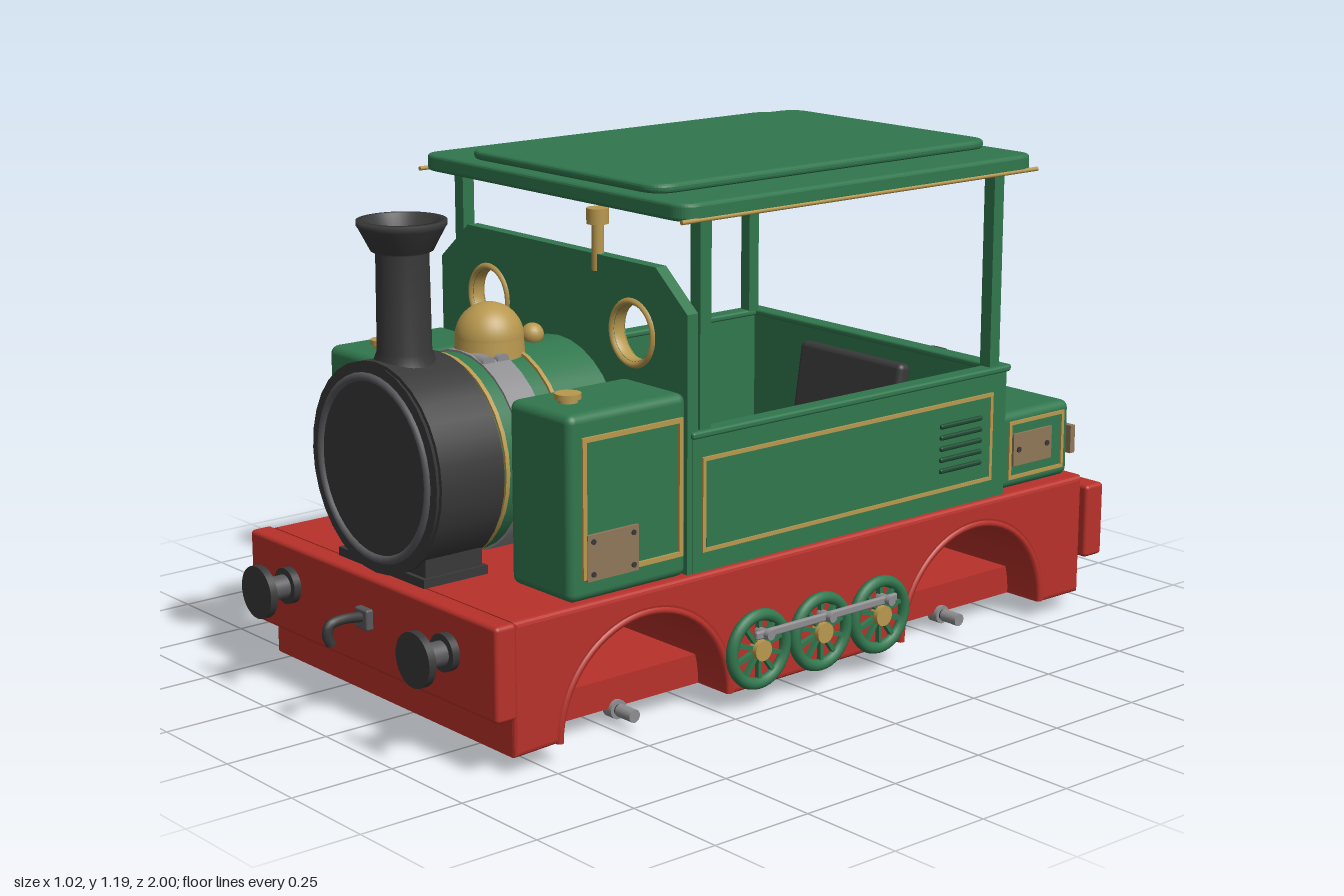
import * as THREE from 'three';
import { RoundedBoxGeometry } from 'three/addons/geometries/RoundedBoxGeometry.js';

const mat = (name, color, side = THREE.FrontSide) =>
  Object.assign(new THREE.MeshStandardMaterial({ color, side }), { name });

export function createModel() {
  const root = new THREE.Group();
  root.name = 'tankEngine';
  const green = mat('green paint', 0x31774e), red = mat('red paint', 0xb8312a);
  const dark = mat('black iron', 0x393939), gold = mat('brass', 0xb8984e);
  const steel = mat('steel', 0x8e8e90), bronze = mat('bronze plate', 0x8f7758);
  const coalMat = mat('coal', 0x323234), ringMat = mat('dark steel', 0x58585c);
  const shade = mat('dark green', 0x1d4a31);
  coalMat.flatShading = true;

  // helpers
  const add = (name, geo, m, x = 0, y = 0, z = 0) => {
    const mesh = new THREE.Mesh(geo, m);
    mesh.name = name;
    mesh.position.set(x, y, z);
    root.add(mesh);
    return mesh;
  };
  const box = (name, m, w, h, d, x, y, z) => add(name, new THREE.BoxGeometry(w, h, d), m, x, y, z);
  const rbox = (name, m, w, h, d, x, y, z, r = 0.015) =>
    add(name, new RoundedBoxGeometry(w, h, d, 3, r), m, x, y, z);
  const cyl = (name, m, r, len, x, y, z, axis = 'y', rTop = r) => {
    const g = new THREE.CylinderGeometry(rTop, r, len, 32);
    if (axis === 'z') g.rotateX(Math.PI / 2);
    if (axis === 'x') g.rotateZ(-Math.PI / 2);
    return add(name, g, m, x, y, z);
  };
  const ring = (name, m, r, tube, x, y, z, sideways = false) => {
    const g = new THREE.TorusGeometry(r, tube, 10, 40);
    if (sideways) g.rotateY(Math.PI / 2);
    return add(name, g, m, x, y, z);
  };
  // shape drawn in (z, y), extruded across x and centred
  const across = (shape, w, bevel = 0) => {
    const g = new THREE.ExtrudeGeometry(shape, {
      depth: w - 2 * bevel, curveSegments: 24, bevelEnabled: bevel > 0,
      bevelThickness: bevel, bevelSize: bevel, bevelOffset: -bevel, bevelSegments: 3,
    });
    return g.rotateY(-Math.PI / 2).translate(w / 2 - bevel, 0, 0);
  };
  const poly = (pts) => new THREE.Shape(pts.map((p) => new THREE.Vector2(...p)));
  const rect = (a, b, c, d) => poly([[a, c], [b, c], [b, d], [a, d]]);
  const frame = (name, x, z0, z1, y0, y1, t = 0.009) => {
    const s = rect(z0, z1, y0, y1);
    s.holes.push(rect(z0 + t, z1 - t, y0 + t, y1 - t));
    return add(name, across(s, 0.008), gold, x);
  };
  const slab = (name, m, w, d, h, r, y, z) => {
    const a = w / 2 - 0.01, b = d / 2 - 0.01, s = new THREE.Shape();
    s.moveTo(-a + r, -b).lineTo(a - r, -b).quadraticCurveTo(a, -b, a, -b + r);
    s.lineTo(a, b - r).quadraticCurveTo(a, b, a - r, b);
    s.lineTo(-a + r, b).quadraticCurveTo(-a, b, -a, b - r);
    s.lineTo(-a, -b + r).quadraticCurveTo(-a, -b, -a + r, -b);
    const g = new THREE.ExtrudeGeometry(s, {
      depth: h - 0.016, bevelThickness: 0.008, bevelSize: 0.01, bevelSegments: 3,
    });
    return add(name, g.rotateX(-Math.PI / 2), m, 0, y + 0.008, z);
  };

  // chassis with two wheel arches on each side
  const arches = [-0.55, 0.47];
  const hull = new THREE.Shape();
  hull.moveTo(-0.93, 0.04);
  for (const z of arches) {
    hull.lineTo(z - 0.24, 0.04);
    hull.absarc(z, 0.045, 0.24, Math.PI, 0, true);
  }
  hull.lineTo(0.83, 0.04).lineTo(0.83, 0.34).lineTo(-0.93, 0.34);
  add('chassis', across(hull, 0.92, 0.012), red);
  box('floorTray', red, 0.7, 0.07, 1.7, 0, 0.075, -0.05);
  rbox('frontBeam', red, 0.94, 0.212, 0.055, 0, 0.236, 0.857, 0.01);
  rbox('rearBeam', red, 0.94, 0.185, 0.062, 0, 0.22, -0.969, 0.01);
  for (const s of [1, -1]) for (const z of arches) {
    const arch = new THREE.TorusGeometry(0.24, 0.009, 8, 32, Math.PI).rotateY(Math.PI / 2);
    add('archLip', arch, red, s * 0.455, 0.045, z);
  }

  // running rails and cross axles underneath
  for (const s of [1, -1]) cyl('bottomRail', dark, 0.02, 1.58, s * 0.22, 0.02, -0.05, 'z');
  for (const z of arches) {
    cyl('crossAxle', dark, 0.013, 0.8, 0, 0.036, z, 'x');
    for (const s of [1, -1]) {
      cyl('axleCollar', steel, 0.022, 0.03, s * 0.345, 0.036, z, 'x');
      cyl('axleEnd', steel, 0.015, 0.05, s * 0.39, 0.036, z, 'x');
    }
  }
  // machinery in the rear arch
  box('pedal', dark, 0.2, 0.1, 0.08, 0, 0.22, -0.47).rotation.x = 0.3;
  box('motorBox', dark, 0.2, 0.07, 0.09, 0, 0.14, -0.365);

  // wheels and side rods
  for (const s of [1, -1]) {
    for (const z of [0.155, -0.035, -0.222]) {
      ring('wheelRim', green, 0.08, 0.014, s * 0.47, 0.135, z, true);
      cyl('wheelDisc', red, 0.08, 0.006, s * 0.461, 0.135, z, 'x');
      for (let i = 0; i < 5; i++)
        box('wheelSpoke', green, 0.012, 0.16, 0.01, s * 0.47, 0.135, z).rotation.x = (i * Math.PI) / 5;
      cyl('wheelHub', gold, 0.024, 0.03, s * 0.473, 0.135, z, 'x');
      cyl('crankPin', steel, 0.011, 0.045, s * 0.49, 0.177, z, 'x');
    }
    rbox('sideRod', steel, 0.012, 0.02, 0.44, s * 0.492, 0.177, -0.035, 0.005);
  }

  // buffers and coupling hook
  for (const s of [1, -1]) {
    cyl('bufferBase', dark, 0.042, 0.02, s * 0.302, 0.25, 0.893, 'z');
    cyl('bufferStem', ringMat, 0.027, 0.08, s * 0.302, 0.25, 0.925, 'z');
    cyl('bufferHead', dark, 0.061, 0.018, s * 0.302, 0.25, 0.968, 'z');
  }
  rbox('hookPlate', ringMat, 0.048, 0.048, 0.02, 0, 0.248, 0.892, 0.005);
  const hookPath = new THREE.CatmullRomCurve3([[0.88, 0.25], [0.95, 0.257], [0.982, 0.25], [0.988, 0.225], [0.98, 0.207]]
    .map(([z, y]) => new THREE.Vector3(0, y, z)));
  add('couplingHook', new THREE.TubeGeometry(hookPath, 20, 0.012, 8), dark);

  // boiler, smokebox and chimney
  cyl('boiler', green, 0.222, 0.36, 0, 0.58, 0.5, 'z');
  cyl('boilerBand', steel, 0.227, 0.075, 0, 0.58, 0.585, 'z');
  for (const z of [0.5, 0.664]) cyl('brassBand', gold, 0.228, 0.01, 0, 0.58, z, 'z');
  const smoke = [[0, -0.09], [0.235, -0.09], [0.235, 0.07], [0.225, 0.09], [0.2, 0.093], [0, 0.093]]
    .map((p) => new THREE.Vector2(...p));
  const flat = new THREE.LatheGeometry(smoke, 48).toNonIndexed();
  cyl('smokebox', dark, 0.235, 0.165, 0, 0.58, 0.762, 'z');
  flat.dispose();
  cyl('smokeboxDoor', dark, 0.225, 0.015, 0, 0.58, 0.85, 'z', 0.235);
  ring('smokeboxRing', ringMat, 0.202, 0.01, 0, 0.58, 0.856);
  box('smokeboxSaddle', dark, 0.31, 0.13, 0.15, 0, 0.41, 0.76);
  box('saddleFoot', dark, 0.325, 0.02, 0.17, 0, 0.354, 0.76);
  const flue = [[0.075, 0.79], [0.06, 0.83], [0.058, 1.045], [0.068, 1.05], [0.094, 1.1],
    [0.098, 1.105], [0.098, 1.116], [0.08, 1.116], [0.05, 1.06], [0.001, 1.05]];
  add('chimney', new THREE.LatheGeometry(flue.map((p) => new THREE.Vector2(...p)), 36), dark, 0, 0, 0.768);

  // brass fittings on the boiler
  cyl('domeBase', gold, 0.08, 0.05, 0, 0.805, 0.54, 'y', 0.076);
  add('steamDome', new THREE.SphereGeometry(0.077, 32, 16, 0, Math.PI * 2, 0, Math.PI / 2), gold, 0, 0.828, 0.54);
  cyl('valveStem', gold, 0.02, 0.04, 0, 0.8, 0.42);
  add('valveBall', new THREE.SphereGeometry(0.026, 20, 12), gold, 0, 0.815, 0.42);
  for (const z of [0.565, 0.605]) cyl('bandBolt', steel, 0.016, 0.05, 0.06, 0.79, z, 'x');
  cyl('whistleStem', gold, 0.014, 0.12, 0.13, 1.03, 0.335);
  cyl('whistleTop', gold, 0.025, 0.035, 0.13, 1.092, 0.335);

  // side tanks with trim, plate and filler
  for (const s of [1, -1]) {
    rbox('sideTank', green, 0.21, 0.41, 0.325, s * 0.343, 0.545, 0.509, 0.02);
    frame('tankTrim', s * 0.45, 0.363, 0.64, 0.39, 0.7, 0.011);
    box('tankPlate', bronze, 0.012, 0.102, 0.14, s * 0.45, 0.436, 0.56);
    for (const z of [0.505, 0.615]) for (const y of [0.4, 0.472])
      cyl('plateRivet', dark, 0.006, 0.012, s * 0.453, y, z, 'x');
    cyl('fillerNeck', gold, 0.022, 0.02, s * 0.342, 0.755, 0.59);
    cyl('fillerCap', gold, 0.029, 0.012, s * 0.342, 0.764, 0.59);
  }

  // cab front plate with round windows
  const plate = poly([[-0.445, 0.34], [0.445, 0.34], [0.445, 0.92], [0.34, 1.008], [-0.34, 1.008], [-0.445, 0.92]]);
  for (const s of [1, -1]) plate.holes.push(new THREE.Path().absarc(s * 0.26, 0.85, 0.063, 0, Math.PI * 2));
  add('cabFront', new THREE.ExtrudeGeometry(plate, { depth: 0.03, bevelEnabled: false, curveSegments: 24 }), green, 0, 0, 0.315);
  for (const s of [1, -1]) ring('windowRing', gold, 0.071, 0.011, s * 0.26, 0.85, 0.33).scale.z = 2;
  cyl('boilerBackPlate', green, 0.222, 0.01, 0, 0.58, 0.312, 'z');

  // cab walls, panels and louvres
  for (const s of [1, -1]) {
    box('cabSide', green, 0.03, 0.31, 0.98, s * 0.432, 0.495, -0.16);
    rbox('cabRail', green, 0.045, 0.016, 1.0, s * 0.432, 0.652, -0.165, 0.006);
    frame('cabTrim', s * 0.448, -0.61, 0.305, 0.385, 0.6);
    box('cabPanel', s > 0 ? green : steel, 0.006, 0.195, 0.895, s * 0.448, 0.4925, -0.1525);
    for (let i = 0; i < 5; i++)
      rbox('louvre', shade, 0.014, 0.012, 0.14, s * 0.451, 0.437 + i * 0.027, -0.5, 0.005);
    for (const z of [0.29, -0.62]) box('roofPost', green, 0.032, 0.48, 0.032, s * 0.426, 0.89, z);
  }
  box('cabRear', green, 0.89, 0.31, 0.03, 0, 0.495, -0.645);
  rbox('cabRearRail', green, 0.9, 0.016, 0.045, 0, 0.652, -0.65, 0.006);

  // roof
  slab('roof', green, 0.95, 1.09, 0.04, 0.04, 1.125, -0.165);
  slab('roofPanel', green, 0.69, 1.04, 0.022, 0.05, 1.164, -0.175);
  for (const s of [1, -1]) cyl('roofTrim', gold, 0.005, 1.1, s * 0.472, 1.128, -0.165, 'z');

  // seat and control column
  rbox('seatCushion', dark, 0.36, 0.06, 0.28, 0, 0.38, -0.42);
  rbox('seatBack', dark, 0.36, 0.27, 0.04, 0, 0.49, -0.57).rotation.x = -0.15;
  cyl('controlColumn', dark, 0.045, 0.12, 0, 0.4, 0);
  cyl('controlCup', dark, 0.05, 0.04, 0, 0.475, 0, 'y', 0.09);
  box('controlLever', dark, 0.03, 0.025, 0.16, -0.08, 0.43, 0.08);

  // coal bunker
  rbox('bunker', green, 0.86, 0.19, 0.25, 0, 0.436, -0.785, 0.02);
  box('rearPlank', bronze, 0.87, 0.07, 0.016, 0, 0.43, -0.917);
  for (const x of [-0.38, 0, 0.38]) cyl('plankBolt', dark, 0.01, 0.01, x, 0.43, -0.924, 'z');
  for (const y of [0.365, 0.5]) box('bunkerRearTrim', gold, 0.82, 0.008, 0.008, 0, y, -0.909);
  for (const s of [1, -1]) {
    frame('bunkerTrim', s * 0.43, -0.885, -0.69, 0.365, 0.51);
    box('bunkerPlate', bronze, 0.012, 0.08, 0.135, s * 0.431, 0.438, -0.77);
    for (const z of [-0.72, -0.82]) cyl('plateRivet', dark, 0.007, 0.012, s * 0.434, 0.438, z, 'x');
  }
  const lumps = [[-0.215, -0.84, 0.055], [0, -0.87, 0.06], [0.09, -0.85, 0.045], [0.16, -0.81, 0.053],
    [0.215, -0.755, 0.053], [-0.07, -0.77, 0.06], [-0.145, -0.735, 0.05]];
  lumps.forEach(([x, z, r], i) =>
    add('coalLump', new THREE.DodecahedronGeometry(r), coalMat, x, 0.54, z).rotation.set(i, i * 2, i * 0.7));

  return root;
}
